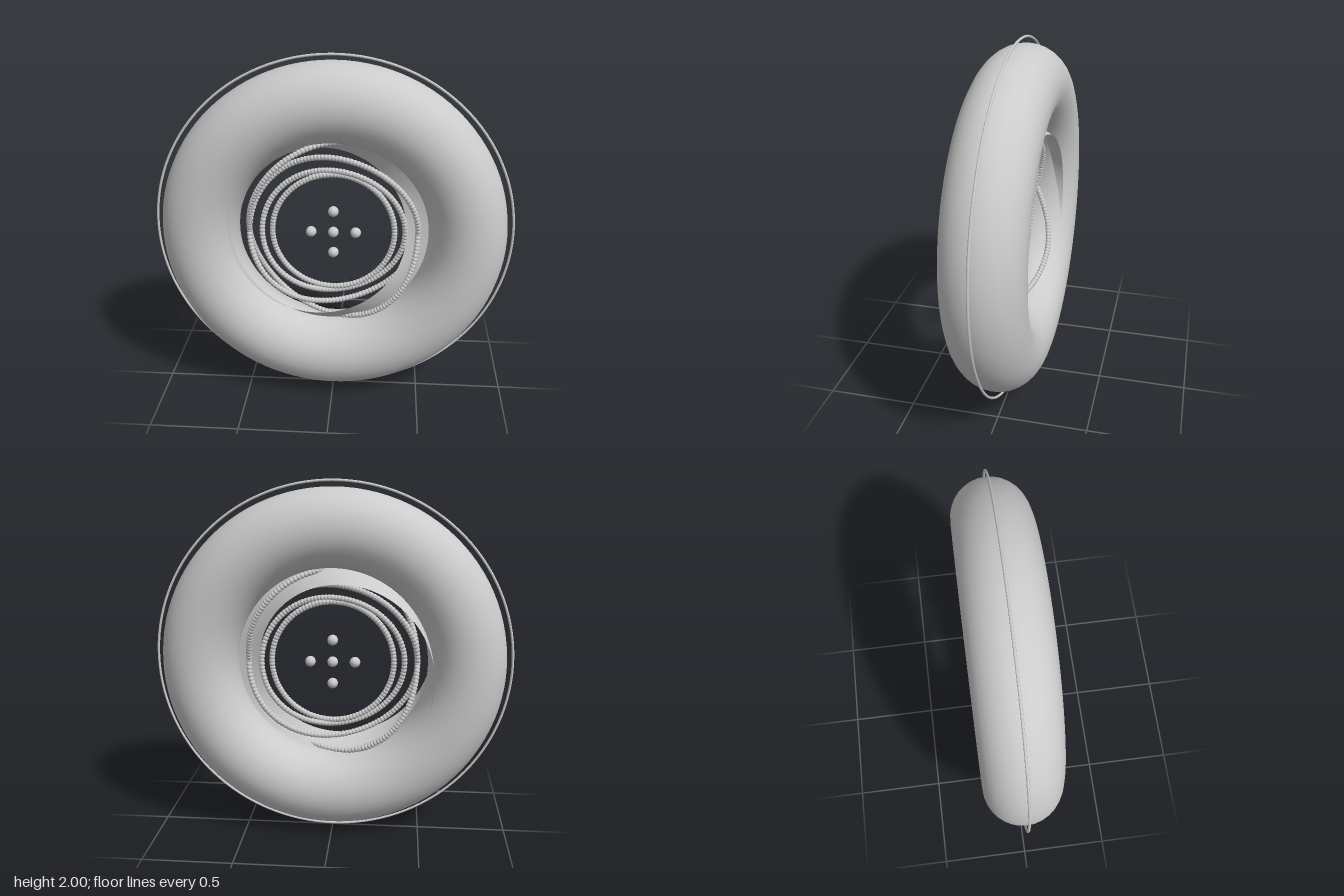
import * as THREE from 'three';
import { mergeGeometries } from 'three/addons/utils/BufferGeometryUtils.js';
import { ParametricGeometry } from 'three/addons/geometries/ParametricGeometry.js';

export function createModel() {
  const model = new THREE.Group();
  const grey = new THREE.MeshStandardMaterial({ color: 0xcccccc });
  const thin = new THREE.MeshStandardMaterial({ color: 0xcccccc, side: THREE.DoubleSide });

  const add = (name, geometry, material = grey) => {
    const mesh = new THREE.Mesh(geometry, material);
    mesh.name = name;
    mesh.position.y = 1;
    model.add(mesh);
    return mesh;
  };

  // Thick main ring and the fine hoop around it
  add('mainRing', new THREE.TorusGeometry(0.745, 0.215, 32, 100));
  add('outerHoop', new THREE.TorusGeometry(0.993, 0.007, 8, 128));

  // One-sided band with a half twist, mostly sunk in the main ring
  const bandRadius = 0.56, bandHalfWidth = 0.15;
  add('twistedBand', new ParametricGeometry((s, t, target) => {
    const u = s * Math.PI * 2;
    const v = (t * 2 - 1) * bandHalfWidth;
    const r = bandRadius + v * Math.cos(u / 2);
    target.set(r * Math.cos(u), r * Math.sin(u), v * Math.sin(u / 2));
  }, 120, 8), thin);

  // Closed strings of beads that weave in radius and depth twice per turn
  const strings = [
    { name: 'innerBeads', radius: 0.342, wave: 0, depth: 0, count: 110 },
    { name: 'secondBeads', radius: 0.383, wave: 0.018, depth: 0.03, count: 120 },
    { name: 'thirdBeads', radius: 0.455, wave: 0.018, depth: 0.06, count: 140 },
    { name: 'outerBeads', radius: 0.498, wave: -0.026, depth: -0.1, count: 160 },
  ];
  for (const { name, radius, wave, depth, count } of strings) {
    const beads = [];
    for (let i = 0; i < count; i++) {
      const u = (i / count) * Math.PI * 2;
      const r = radius + wave * Math.cos(2 * u);
      beads.push(new THREE.SphereGeometry(0.017, 8, 6)
        .translate(r * Math.cos(u), r * Math.sin(u), depth * Math.sin(2 * u)));
    }
    add(name, mergeGeometries(beads));
  }

  // Five small balls in a cross at the centre
  for (const [x, y] of [[0, 0], [1, 0], [-1, 0], [0, 1], [0, -1]]) {
    const ball = add('centreBall', new THREE.SphereGeometry(0.03, 20, 14));
    ball.position.set(x * 0.125, 1 + y * 0.125, 0);
  }
  return model;
}
